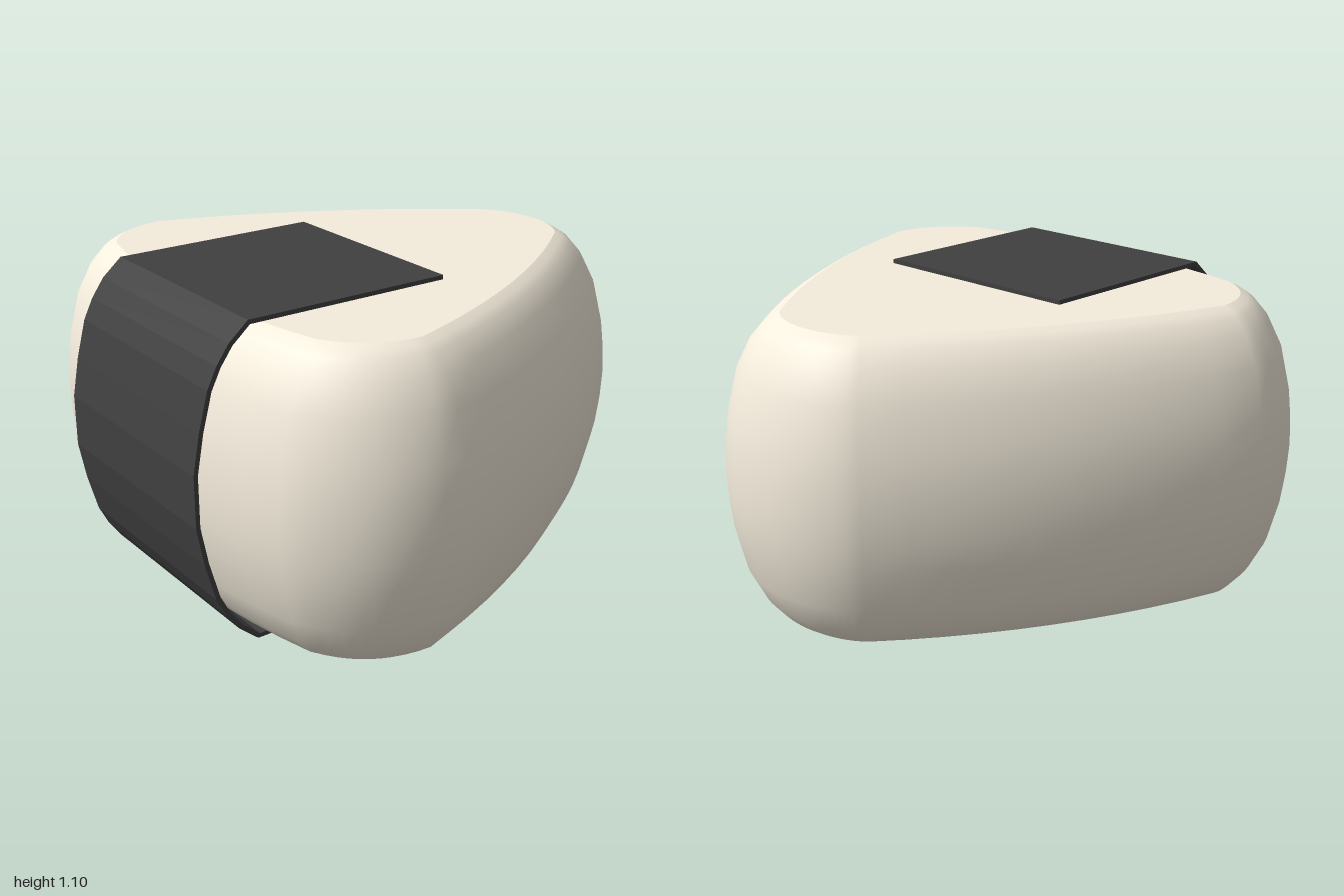
import * as THREE from 'three';

const MID = 0.548; // height of the widest level

// Rounded triangle of the flat faces, drawn as (x, -z), counter-clockwise from above
function faceShape() {
  const s = new THREE.Shape();
  s.moveTo(-0.62, -0.655);
  s.quadraticCurveTo(0, -0.81, 0.62, -0.655);
  s.quadraticCurveTo(0.78, -0.57, 0.79, -0.39);
  s.quadraticCurveTo(0.6, 0.21, 0.2, 0.69);
  s.quadraticCurveTo(0.12, 0.76, 0, 0.76);
  s.quadraticCurveTo(-0.12, 0.76, -0.2, 0.69);
  s.quadraticCurveTo(-0.6, 0.21, -0.79, -0.39);
  s.quadraticCurveTo(-0.78, -0.57, -0.62, -0.655);
  return s;
}

// Bulging wall: the face outline pushed outwards level by level
function wallGeometry(outline) {
  const half = [[0, 0.53], [0.027, 0.517], [0.055, 0.498], [0.1, 0.445], [0.15, 0.345], [0.185, 0.2], [0.197, 0.1]];
  const levels = [...half, [0.202, 0], ...half.map(([o, h]) => [o, -h]).reverse()];
  const n = outline.length, pos = [], index = [];
  const normals = outline.map((p, i) => {
    const a = outline[(i + n - 1) % n], b = outline[(i + 1) % n];
    const u = p.clone().sub(a).normalize(), v = b.clone().sub(p).normalize();
    const t = u.add(v).normalize();
    return new THREE.Vector2(t.y, -t.x);
  });
  levels.forEach(([o, h], j) => outline.forEach((p, i) => {
    pos.push(p.x + normals[i].x * o, MID + h, -(p.y + normals[i].y * o));
    if (j === levels.length - 1) return;
    const k = (i + 1) % n, a = j * n + i, b = j * n + k;
    index.push(a, a + n, b, b, a + n, b + n);
  }));
  const g = new THREE.BufferGeometry();
  g.setAttribute('position', new THREE.Float32BufferAttribute(pos, 3));
  g.setIndex(index);
  g.computeVertexNormals();
  return g;
}

// Thin sheet folded from the middle of the top, round the front, to the middle of the bottom
function wrapGeometry() {
  const top = (pts) => [...pts, ...pts.slice().reverse().map(([z, h]) => [z, -h])];
  const outer = top([[0, 0.548], [0.75, 0.548], [0.82, 0.488], [0.865, 0.425], [0.9, 0.355], [0.935, 0.225], [0.96, 0.09]]);
  const inner = top([[0, 0.533], [0.743, 0.533], [0.807, 0.478], [0.851, 0.417], [0.885, 0.349], [0.92, 0.221], [0.945, 0.088]]);
  const pts = [...outer, ...inner.reverse()].map(([z, h]) => new THREE.Vector2(z, MID + h));
  const g = new THREE.ExtrudeGeometry(new THREE.Shape(pts), { depth: 0.81, bevelEnabled: false });
  return g.translate(0, 0, -0.405).rotateY(-Math.PI / 2);
}

export function createModel() {
  const model = new THREE.Group();
  const rice = new THREE.MeshStandardMaterial({ color: 0xf5eddd });
  const seaweed = new THREE.MeshStandardMaterial({ color: 0x404040 });
  const add = (name, geometry, material) => {
    const m = new THREE.Mesh(geometry, material);
    m.name = name;
    model.add(m);
    return m;
  };

  // Rice ball: curved wall and two flat faces
  const shape = faceShape();
  const outline = shape.getPoints(10);
  if (outline[0].distanceTo(outline[outline.length - 1]) < 1e-6) outline.pop();
  add('riceWall', wallGeometry(outline), rice);
  const face = new THREE.ShapeGeometry(new THREE.Shape(outline)).rotateX(-Math.PI / 2);
  add('riceTop', face, rice).position.y = MID + 0.53;
  add('riceBottom', face.clone().rotateZ(Math.PI), rice).position.y = MID - 0.53;

  // Seaweed strip
  add('seaweedWrap', wrapGeometry(), seaweed);
  return model;
}
